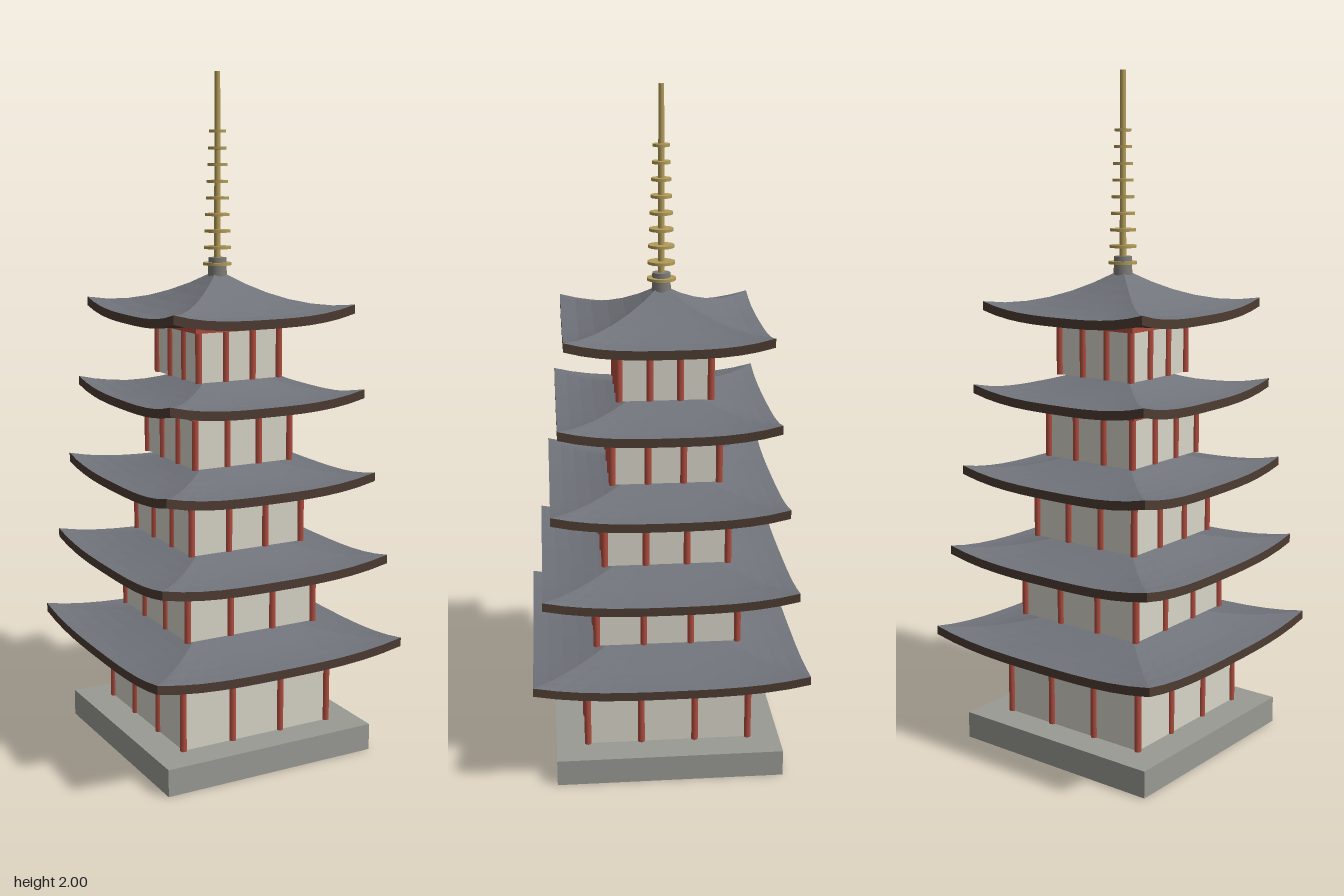
import * as THREE from 'three';

const mat = (color, flatShading = false, side = THREE.FrontSide) =>
  new THREE.MeshStandardMaterial({ color, flatShading, side });

// A square sheet ring: y comes from rule(q, u), q = 0 inner to 1 outer, u = -1..1 along the side.
function squareSheet(inner, outer, rows, cols, rule, up) {
  const pos = [], idx = [];
  for (let s = 0; s < 4; s++) {
    const a = s * Math.PI / 2, c = Math.round(Math.cos(a)), n = Math.round(Math.sin(a));
    const start = pos.length / 3;
    for (let i = 0; i <= rows; i++) {
      for (let j = 0; j <= cols; j++) {
        const q = i / rows, u = -1 + 2 * j / cols;
        const r = inner(q) + (outer(q) - inner(q)) * q;
        const x = u * r, z = r;
        pos.push(c * x + n * z, rule(q, u), -n * x + c * z);
      }
    }
    for (let i = 0; i < rows; i++) {
      for (let j = 0; j < cols; j++) {
        const p = start + i * (cols + 1) + j, w = p + cols + 1;
        if (up) idx.push(p, w, p + 1, p + 1, w, w + 1);
        else idx.push(p, p + 1, w, p + 1, w + 1, w);
      }
    }
  }
  const g = new THREE.BufferGeometry();
  g.setAttribute('position', new THREE.Float32BufferAttribute(pos, 3));
  g.setIndex(idx);
  g.computeVertexNormals();
  return g;
}

export function createModel() {
  const model = new THREE.Group();
  model.name = 'pagoda';
  const stone = mat(0x9a9a94), cream = mat(0xd8d4c8), red = mat(0xae4c3e);
  const tile = mat(0x71747b, true, THREE.DoubleSide);
  const wood = mat(0x4d3c32, true, THREE.DoubleSide);
  const gold = mat(0xb39c5a), finial = mat(0x7d7c76);

  const add = (parent, name, geometry, material, x = 0, y = 0, z = 0) => {
    const m = new THREE.Mesh(geometry, material);
    m.name = name;
    m.position.set(x, y, z);
    parent.add(m);
    return m;
  };

  add(model, 'basePlatform', new THREE.BoxGeometry(0.674, 0.08, 0.674), stone, 0, 0.04, 0);

  // wall half width, floor, eave underside, roof half width, roof top, half width of roof top
  const tiers = [
    [0.242, 0.08, 0.308, 0.4, 0.392, 0.13],
    [0.21, 0.39, 0.558, 0.367, 0.637, 0.115],
    [0.182, 0.635, 0.803, 0.338, 0.882, 0.1],
    [0.156, 0.88, 1.046, 0.313, 1.127, 0.088],
    [0.132, 1.125, 1.29, 0.29, 1.425, 0.014],
  ];
  const lift = 0.028, thick = 0.026;

  tiers.forEach(([w, floor, eave, half, top, topHalf], k) => {
    const tier = new THREE.Group();
    tier.name = `storey${k + 1}`;
    model.add(tier);

    // walls, columns and beam
    const h = eave - floor;
    add(tier, 'walls', new THREE.BoxGeometry(2 * w, h, 2 * w), cream, 0, floor + h / 2, 0);
    const column = new THREE.CylinderGeometry(0.01, 0.01, h, 8);
    for (let i = 0; i < 4; i++) {
      for (let j = 0; j < 4; j++) {
        if (i % 3 && j % 3) continue;
        add(tier, 'column', column, red,
          w * (2 * i / 3 - 1), floor + h / 2, w * (2 * j / 3 - 1));
      }
    }
    add(tier, 'beam', new THREE.BoxGeometry(2 * w + 0.036, 0.02, 2 * w + 0.036), red, 0, eave - 0.01, 0);

    // roof with a hollow slope and corners that sweep up
    const curl = (q, u) => lift * Math.abs(u) ** 3 * q * q;
    const edge = eave + thick;
    add(tier, 'roofTiles', squareSheet(() => topHalf, () => half, 6, 12,
      (q, u) => edge + (top - edge) * (1 - q) ** 1.8 + curl(q, u), true), tile);
    add(tier, 'roofCap', new THREE.BoxGeometry(2 * topHalf, 0.004, 2 * topHalf), tile, 0, top - 0.002, 0);
    add(tier, 'eaveBoard', squareSheet(() => half, () => half, 1, 12,
      (q, u) => edge - thick * q + curl(1, u), true), wood);
    add(tier, 'eaveUnderside', squareSheet(() => w * 0.9, () => half, 4, 12,
      (q, u) => eave + curl(q, u), false), wood);
  });

  // spire with nine shrinking rings
  const spire = new THREE.Group();
  spire.name = 'spire';
  model.add(spire);
  add(spire, 'spireBase', new THREE.CylinderGeometry(0.026, 0.028, 0.055, 12), finial, 0, 1.443, 0);
  add(spire, 'pole', new THREE.CylinderGeometry(0.008, 0.01, 0.58, 12), gold, 0, 1.71, 0);
  for (let i = 0; i < 9; i++) {
    const r = 0.042 - 0.0022 * i;
    add(spire, 'ring', new THREE.CylinderGeometry(r, r, 0.008, 24), gold, 0, 1.452 + 0.0475 * i, 0);
  }
  return model;
}
